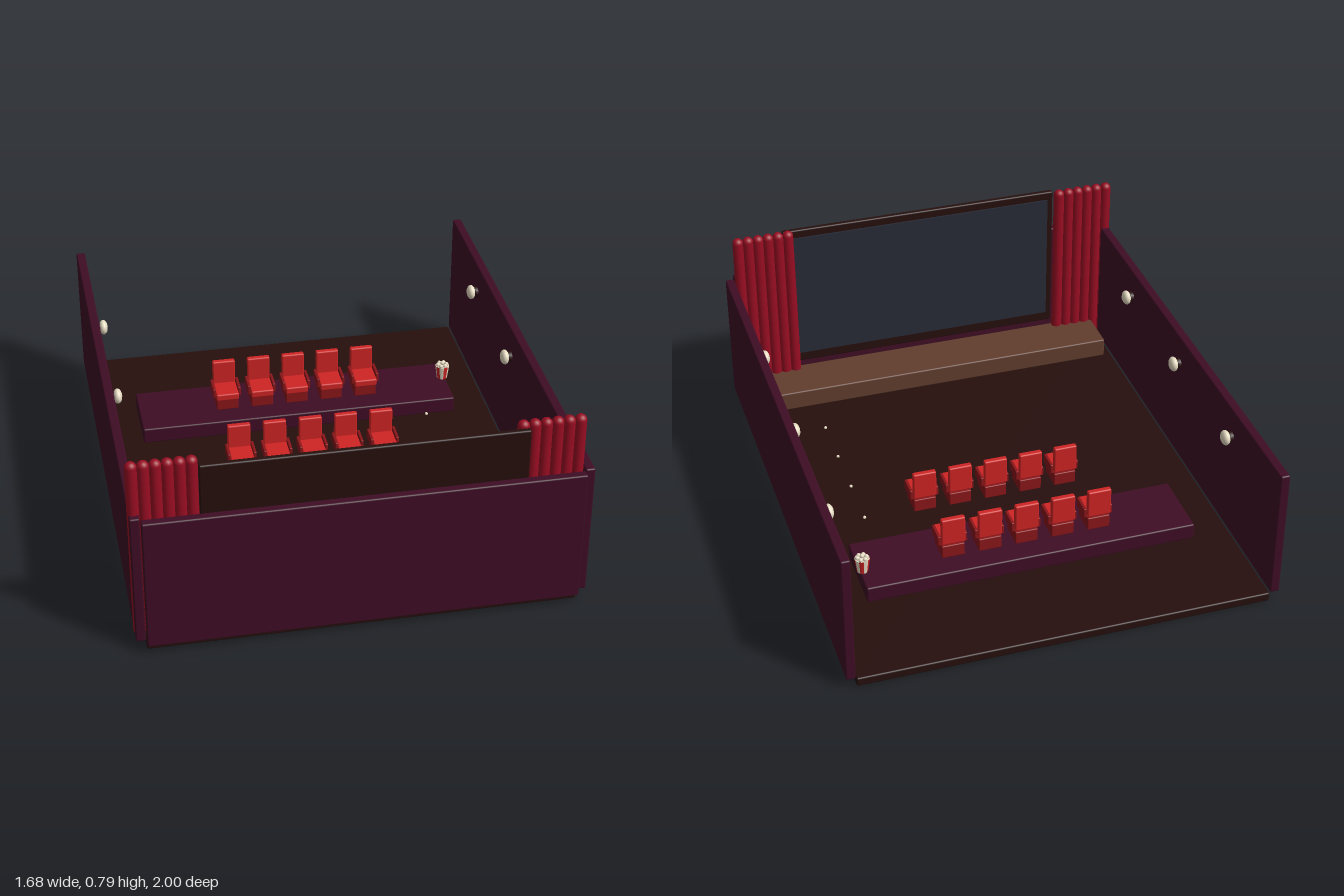
import * as THREE from 'three';
import { RoundedBoxGeometry } from 'three/addons/geometries/RoundedBoxGeometry.js';

const mat = (name, color) => Object.assign(new THREE.MeshStandardMaterial({ color }), { name });

export function createModel() {
  const wine = mat('wine', 0x3f0d25);
  const darkBrown = mat('dark brown', 0x260f0d);
  const slate = mat('slate', 0x272a36);
  const velvet = mat('velvet', 0x980d22);
  const red = mat('seat red', 0xcf2424);
  const darkRed = mat('dark red', 0x8a1519);
  const wood = mat('wood', 0x613d2e);
  const cream = mat('cream', 0xe9dfc6);

  const room = new THREE.Group();
  room.name = 'cinemaRoom';

  function add(parent, name, geometry, material, x = 0, y = 0, z = 0) {
    const mesh = new THREE.Mesh(geometry, material);
    mesh.name = name;
    mesh.position.set(x, y, z);
    parent.add(mesh);
    return mesh;
  }
  // Softly rounded box given by its extents
  function box(parent, name, material, [x0, x1], [y0, y1], [z0, z1], radius = 0.006) {
    const geometry = new RoundedBoxGeometry(x1 - x0, y1 - y0, z1 - z0, 2, radius);
    return add(parent, name, geometry, material, (x0 + x1) / 2, (y0 + y1) / 2, (z0 + z1) / 2);
  }

  // Floor, walls, seating platform and stage
  box(room, 'floor', darkBrown, [-0.8, 0.8], [0, 0.036], [-1, 0.965]);
  box(room, 'leftWall', wine, [0.802, 0.838], [0.038, 0.575], [-1, 0.963]);
  box(room, 'rightWall', wine, [-0.838, -0.802], [0.038, 0.575], [-1, 0.963]);
  box(room, 'frontWall', wine, [-0.8, 0.8], [0.038, 0.575], [0.965, 1]);
  box(room, 'platform', wine, [-0.655, 0.655], [0.034, 0.1], [-0.6, -0.315]);
  box(room, 'stage', wood, [-0.77, 0.77], [0.034, 0.115], [0.73, 0.935]);

  // Screen facing the seats
  box(room, 'screenFrame', darkBrown, [-0.59, 0.59], [0.13, 0.77], [0.942, 0.965]);
  add(room, 'screen', new THREE.BoxGeometry(1.13, 0.56, 0.008), slate, 0, 0.455, 0.939);

  // Curtains made of vertical folds
  const fold = new THREE.CapsuleGeometry(0.0225, 0.702, 6, 14);
  for (const [name, start] of [['rightCurtain', -0.82], ['leftCurtain', 0.572]]) {
    const curtain = new THREE.Group();
    curtain.name = name;
    for (let i = 0; i < 6; i++) add(curtain, 'fold', fold, velvet, start + i * 0.042, 0.4135, 0.919);
    room.add(curtain);
  }

  // Two rows of five seats
  function addSeat(x, y, z) {
    const seat = new THREE.Group();
    seat.name = 'seat';
    seat.position.set(x, y, z);
    box(seat, 'base', darkRed, [-0.045, 0.045], [0, 0.055], [-0.055, 0.05], 0.004);
    box(seat, 'cushion', red, [-0.047, 0.047], [0.05, 0.08], [-0.04, 0.062]);
    box(seat, 'backrest', red, [-0.047, 0.047], [0.065, 0.18], [-0.06, -0.035]);
    for (const s of [-1, 1]) {
      box(seat, 'armrest', darkRed, [s * 0.052 - 0.006, s * 0.052 + 0.006], [0.055, 0.095], [-0.045, 0.04], 0.003);
    }
    room.add(seat);
  }
  for (let i = -2; i <= 2; i++) {
    addSeat(i * 0.146, 0.1, -0.455);
    addSeat(i * 0.146, 0.036, -0.062);
  }

  // Wall lamps on both sides
  const lamp = new THREE.SphereGeometry(0.03, 14, 10);
  const plate = new THREE.CylinderGeometry(0.022, 0.022, 0.014, 16).rotateZ(Math.PI / 2);
  for (const s of [-1, 1]) {
    for (const z of [-0.56, -0.025, 0.51]) {
      add(room, 'lampMount', plate, darkBrown, s * 0.796, 0.46, z);
      add(room, 'wallLamp', lamp, cream, s * 0.775, 0.46, z).scale.x = 0.6;
    }
  }

  // Aisle lights on the floor
  const aisle = new THREE.SphereGeometry(0.007, 8, 6);
  for (let i = 0; i < 5; i++) add(room, 'aisleLight', aisle, cream, 0.535, 0.038, -0.31 + i * 0.215);

  // Striped snack bucket
  const bucket = new THREE.Group();
  bucket.name = 'snackBucket';
  bucket.position.set(0.643, 0.1, -0.487);
  const step = Math.PI / 5;
  for (let i = 0; i < 10; i++) {
    const stripe = new THREE.CylinderGeometry(0.03, 0.022, 0.06, 2, 1, true, i * step, step);
    add(bucket, 'stripe', stripe, i % 2 ? cream : red, 0, 0.03, 0);
  }
  add(bucket, 'bucketBottom', new THREE.CircleGeometry(0.022, 20).rotateX(Math.PI / 2), red, 0, 0.001, 0);
  add(bucket, 'filling', new THREE.CircleGeometry(0.029, 20).rotateX(-Math.PI / 2), cream, 0, 0.058, 0);
  const kernel = new THREE.SphereGeometry(0.009, 8, 6);
  add(bucket, 'kernel', kernel, cream, 0, 0.069, 0);
  for (let i = 0; i < 6; i++) {
    const a = i * Math.PI / 3;
    add(bucket, 'kernel', kernel, cream, Math.cos(a) * 0.018, 0.062, Math.sin(a) * 0.018);
  }
  room.add(bucket);

  return room;
}
